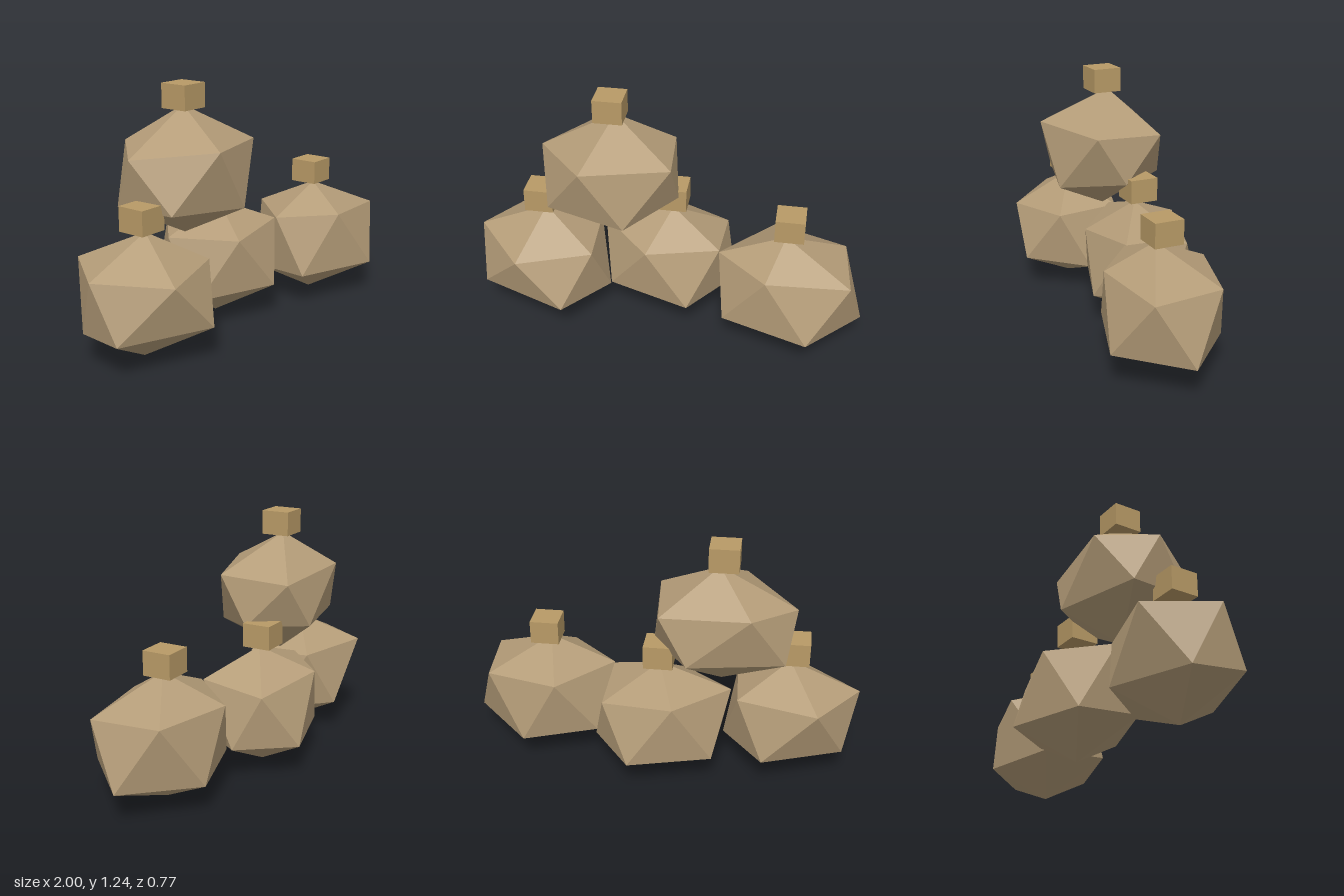
import * as THREE from 'three';
import { ConvexGeometry } from 'three/addons/geometries/ConvexGeometry.js';

// Each sack: foot position, crown point, then upper and lower five-point rings (relative to the foot)
const SACKS = [
  { name: 'rightSack', foot: [-0.665, 0, 0.005], crown: [0.02, 0.6, 0],
    upper: [[-0.085, 0.415, 0.275], [0.285, 0.435, 0.16], [0.27, 0.45, -0.17], [-0.125, 0.46, -0.295], [-0.335, 0.45, -0.005]],
    lower: [[0.145, 0.17, 0.305], [0.345, 0.14, 0.01], [0.135, 0.16, -0.275], [-0.265, 0.16, -0.13], [-0.305, 0.17, 0.125]] },
  { name: 'middleSack', foot: [0, 0, -0.11], crown: [0, 0.6, 0.02],
    upper: [[-0.11, 0.445, 0.245], [0.26, 0.475, 0.19], [0.27, 0.435, -0.14], [-0.09, 0.485, -0.245], [-0.36, 0.48, 0]],
    lower: [[0.11, 0.17, 0.3], [0.33, 0.165, -0.01], [0.13, 0.165, -0.275], [-0.28, 0.16, -0.16], [-0.31, 0.17, 0.15]] },
  { name: 'leftSack', foot: [0.605, 0, 0.07], crown: [-0.015, 0.61, 0.025],
    upper: [[-0.095, 0.475, 0.245], [0.315, 0.455, 0.195], [0.285, 0.46, -0.155], [-0.085, 0.475, -0.268], [-0.345, 0.475, 0.02]],
    lower: [[0.125, 0.17, 0.315], [0.39, 0.155, 0.025], [0.095, 0.145, -0.268], [-0.275, 0.165, -0.16], [-0.305, 0.17, 0.165]] },
  { name: 'topSack', foot: [-0.305, 0.51, -0.05], crown: [0.02, 0.62, -0.02],
    upper: [[-0.1, 0.45, 0.305], [0.325, 0.435, 0.17], [0.295, 0.415, -0.19], [-0.145, 0.45, -0.245], [-0.36, 0.415, -0.02]],
    lower: [[0.105, 0.145, 0.285], [0.34, 0.19, 0.02], [0.155, 0.185, -0.245], [-0.315, 0.17, -0.14], [-0.295, 0.17, 0.18]] },
];

export function createModel() {
  const burlap = new THREE.MeshStandardMaterial({ color: 0xb49c78 });
  burlap.name = 'burlap';
  const twine = new THREE.MeshStandardMaterial({ color: 0xb89a66 });
  twine.name = 'twine';

  const model = new THREE.Group();
  model.name = 'sackPile';
  const knotGeometry = new THREE.BoxGeometry(0.145, 0.12, 0.145);

  for (const { name, foot, crown, upper, lower } of SACKS) {
    const sack = new THREE.Group();
    sack.name = name;
    sack.position.set(...foot);

    // Faceted sack body
    const points = [[0, 0, 0], ...lower, ...upper, crown].map((p) => new THREE.Vector3(...p));
    const body = new THREE.Mesh(new ConvexGeometry(points), burlap);
    body.name = 'sackBody';

    // Square knot on top
    const knot = new THREE.Mesh(knotGeometry, twine);
    knot.name = 'sackKnot';
    knot.position.y = 0.67;

    sack.add(body, knot);
    model.add(sack);
  }
  return model;
}
